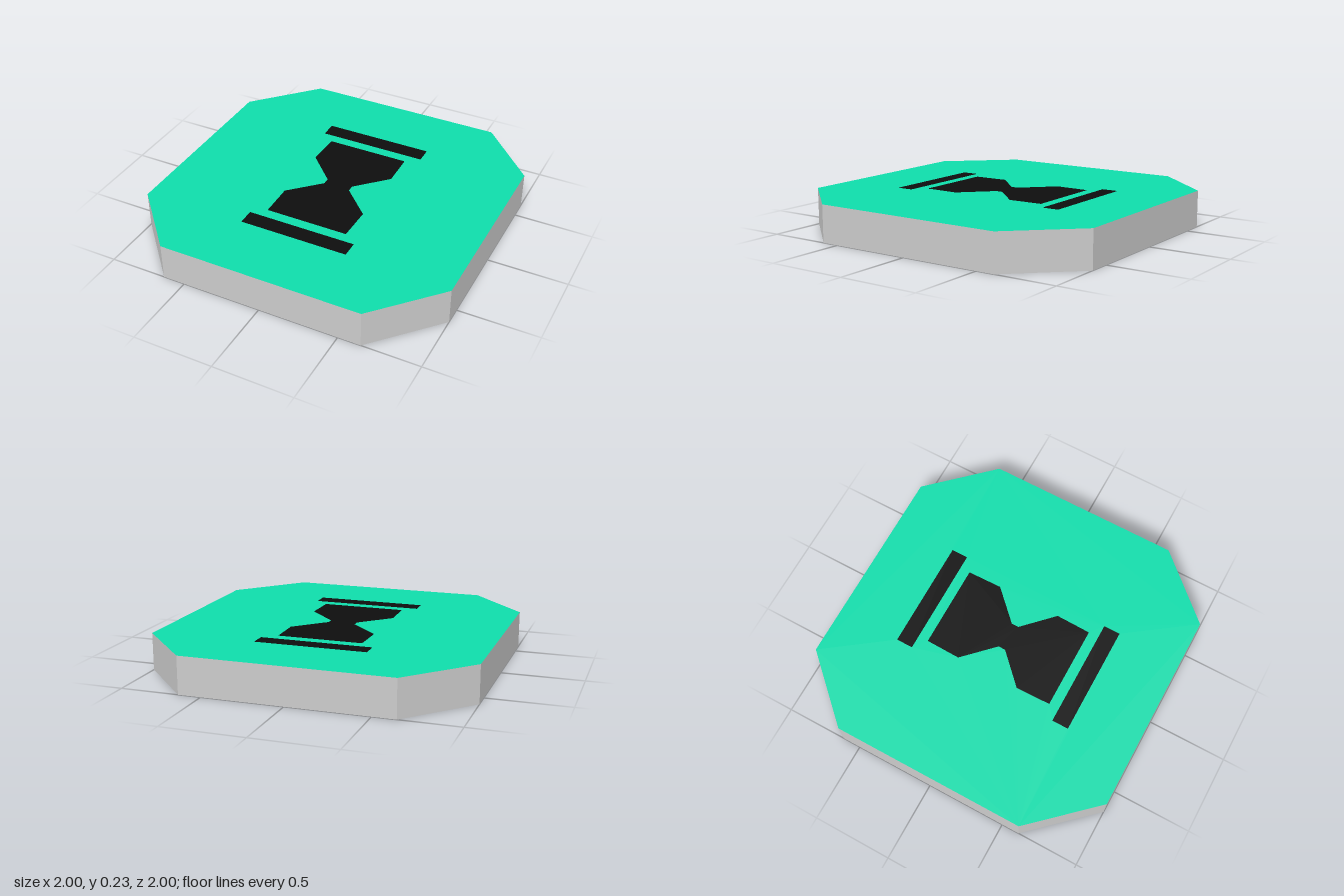
import * as THREE from 'three';

const HEIGHT = 0.23;

const toShape = (points) => new THREE.Shape(points.map(([x, y]) => new THREE.Vector2(x, y)));

// Lays a flat shape horizontally at height y, facing up or down
function flatPart(name, shape, y, color, faceUp = true) {
  const geometry = new THREE.ShapeGeometry(shape);
  geometry.rotateX(faceUp ? -Math.PI / 2 : Math.PI / 2);
  geometry.translate(0, y, 0);
  const mesh = new THREE.Mesh(geometry, new THREE.MeshStandardMaterial({ color }));
  mesh.name = name;
  return mesh;
}

// Upright walls around a counter-clockwise outline (outline y is -z)
function wallGeometry(outline, height) {
  const positions = [];
  outline.forEach(([ax, ay], i) => {
    const [bx, by] = outline[(i + 1) % outline.length];
    positions.push(ax, 0, -ay, bx, 0, -by, bx, height, -by);
    positions.push(ax, 0, -ay, bx, height, -by, ax, height, -ay);
  });
  const geometry = new THREE.BufferGeometry();
  geometry.setAttribute('position', new THREE.Float32BufferAttribute(positions, 3));
  geometry.computeVertexNormals();
  return geometry;
}

const barPoints = (y0, y1) => [[-0.345, y0], [0.345, y0], [0.345, y1], [-0.345, y1]];

export function createModel() {
  const model = new THREE.Group();
  model.name = 'hourglassTile';
  const green = 0x0edcab;
  const black = 0x0d0d0d;

  // Square outline with clipped corners
  const outline = [
    [1, -0.61], [1, 0.615], [0.64, 1], [-0.64, 1],
    [-1, 0.615], [-1, -0.61], [-0.64, -1], [0.64, -1],
  ];

  // Hourglass: right half from bottom to top, then mirrored
  const half = [
    [0.262, -0.42], [0.267, -0.2], [0.085, -0.02],
    [0.085, 0.025], [0.267, 0.208], [0.262, 0.425],
  ];
  const hourglass = [...half, ...half.map(([x, y]) => [-x, y]).reverse()];
  const symbols = {
    hourglass,
    backBar: barPoints(0.49, 0.595),
    frontBar: barPoints(-0.59, -0.485),
  };

  // Top face with cut-outs, filled flush by the dark symbols
  const top = toShape(outline);
  for (const [name, points] of Object.entries(symbols)) {
    top.holes.push(toShape(points));
    model.add(flatPart(name, toShape(points), HEIGHT, black));
  }
  model.add(flatPart('topFace', top, HEIGHT, green));
  model.add(flatPart('bottomFace', toShape(outline.map(([x, y]) => [x, -y])), 0, green, false));

  // Grey rim
  const rim = new THREE.Mesh(
    wallGeometry(outline, HEIGHT),
    new THREE.MeshStandardMaterial({ color: 0xcccccc, flatShading: true }),
  );
  rim.name = 'rim';
  model.add(rim);

  return model;
}
